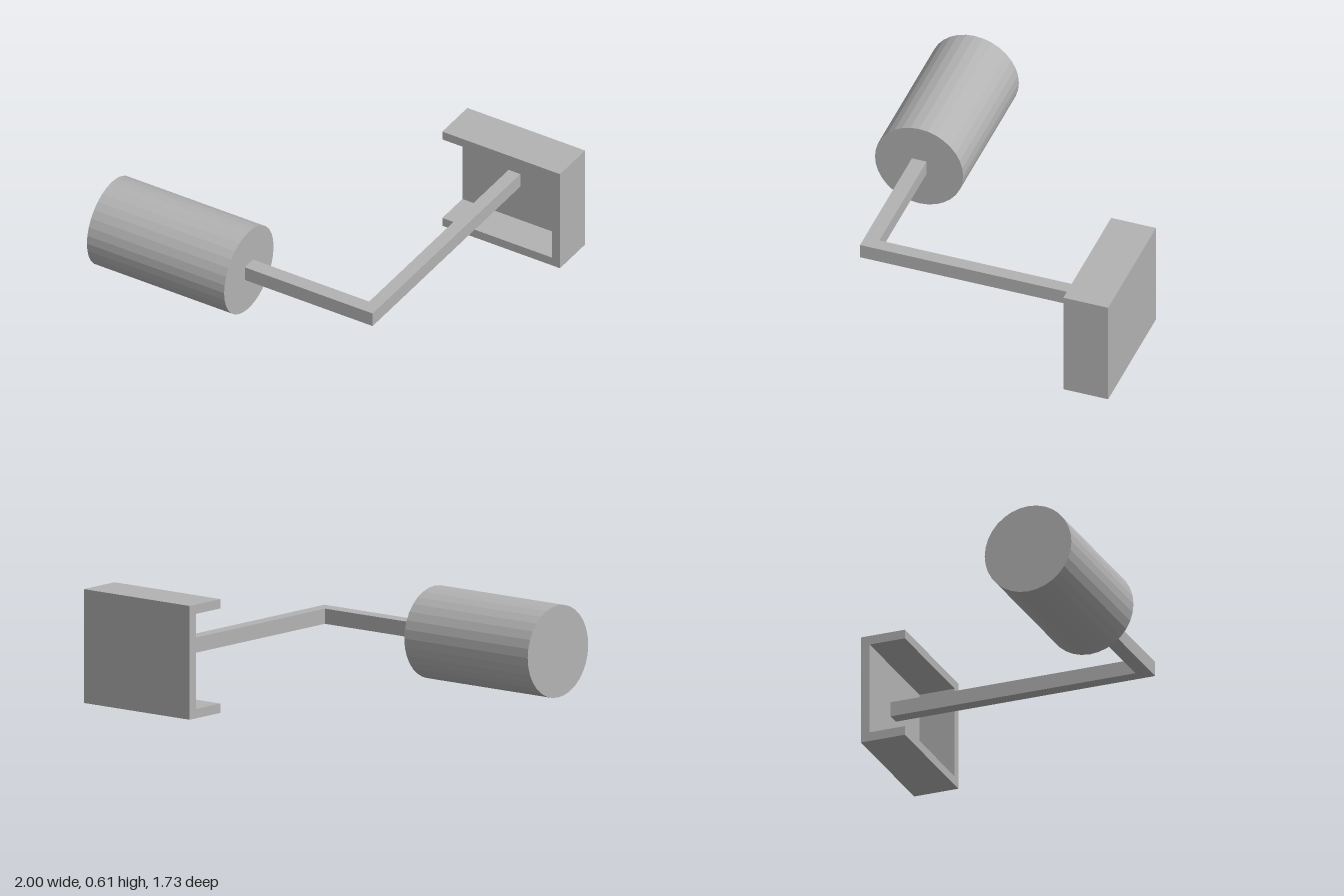
import * as THREE from 'three';

const grey = new THREE.MeshStandardMaterial({ color: 0xb3b3b3 });
grey.name = 'plain grey';
grey.flatShading = true;

// Extrudes a closed outline of [x, y] corners
function extrude(name, corners, depth) {
  const shape = new THREE.Shape(corners.map(([x, y]) => new THREE.Vector2(x, y)));
  const geometry = new THREE.ExtrudeGeometry(shape, { depth, bevelEnabled: false });
  const mesh = new THREE.Mesh(geometry, grey);
  mesh.name = name;
  return mesh;
}

export function createModel() {
  const model = new THREE.Group();
  model.name = 'weightOnArm';

  // Horizontal cylinder lying along x
  const cylinder = new THREE.Mesh(new THREE.CylinderGeometry(0.246, 0.246, 0.845, 32), grey);
  cylinder.name = 'cylinder';
  cylinder.rotation.z = Math.PI / 2;
  cylinder.position.set(-0.5775, 0.305, 0.615);
  model.add(cylinder);

  // L-shaped arm, drawn in plan (x, -z) and extruded upwards
  const arm = extrude('arm', [
    [-0.155, -0.655], [0.632, -0.655], [0.632, 0.817],
    [0.56, 0.817], [0.56, -0.573], [-0.155, -0.573],
  ], 0.081);
  arm.rotation.x = -Math.PI / 2;
  arm.position.y = 0.265;
  model.add(arm);

  // Bracket: back plate with a rim on three sides, open at the front and at -x
  const bracket = new THREE.Group();
  bracket.name = 'bracket';
  const back = extrude('backPlate', [[0.275, 0], [1, 0], [1, 0.607], [0.275, 0.607]], 0.05);
  back.position.z = -0.865;
  const rim = extrude('rim', [
    [0.275, 0], [1, 0], [1, 0.607], [0.275, 0.607],
    [0.275, 0.557], [0.95, 0.557], [0.95, 0.05], [0.275, 0.05],
  ], 0.2);
  rim.position.z = -0.815;
  bracket.add(back, rim);
  model.add(bracket);

  return model;
}
